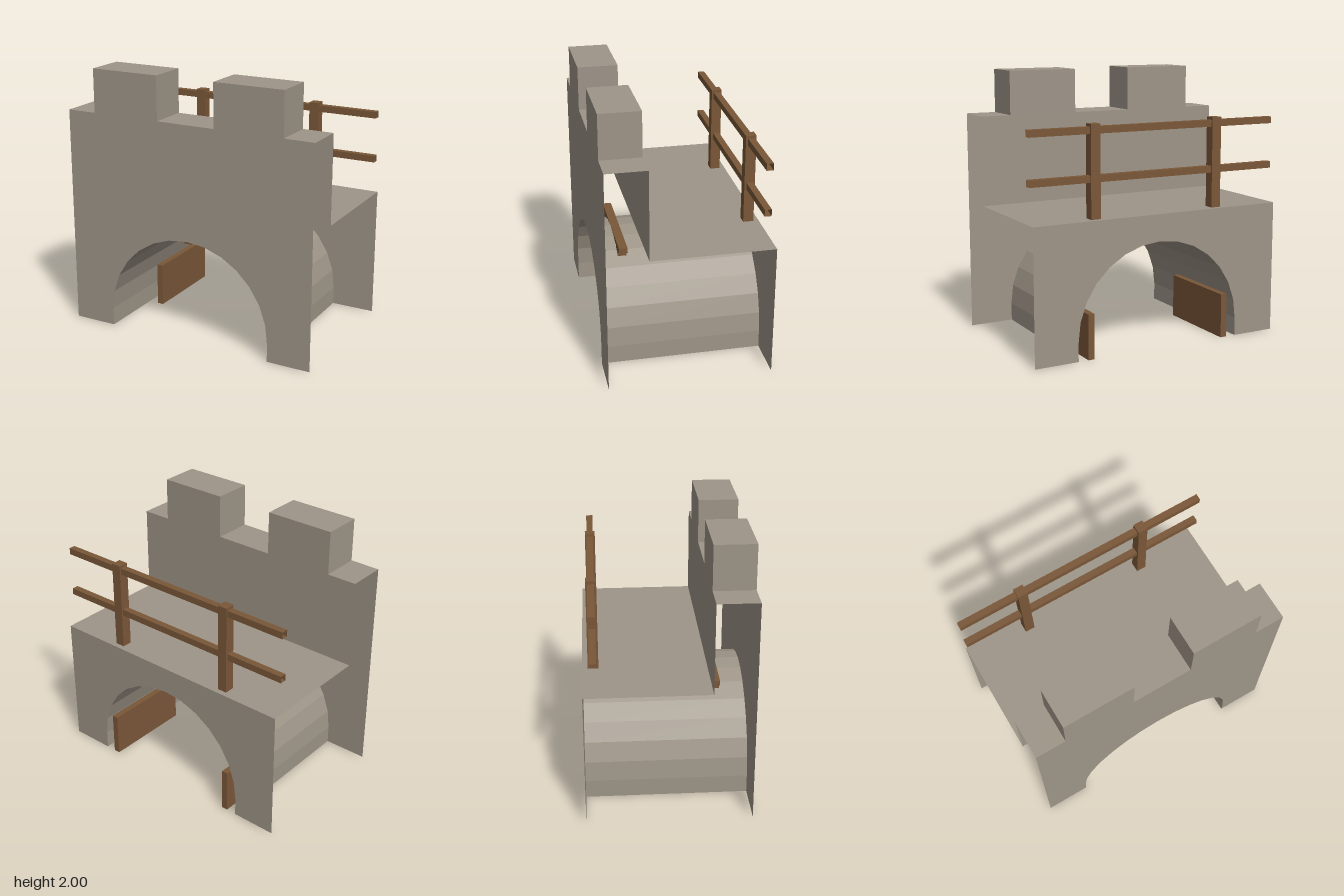
import * as THREE from 'three';

const stone = new THREE.MeshStandardMaterial({ color: 0x9e9588, side: THREE.DoubleSide });
stone.name = 'stone';
const wood = new THREE.MeshStandardMaterial({ color: 0x7a5738, side: THREE.DoubleSide });
wood.name = 'wood';

// Sweep a polyline in the x-y plane along z as flat, open-ended faces
function sweep(points, z0, z1) {
  const pos = [];
  for (let i = 0; i < points.length - 1; i++) {
    const [ax, ay] = points[i], [bx, by] = points[i + 1];
    pos.push(ax, ay, z1, bx, by, z1, bx, by, z0, ax, ay, z1, bx, by, z0, ax, ay, z0);
  }
  const g = new THREE.BufferGeometry();
  g.setAttribute('position', new THREE.Float32BufferAttribute(pos, 3));
  g.computeVertexNormals();
  return g;
}

export function createModel() {
  const model = new THREE.Group();
  model.name = 'castleBridge';

  const add = (name, geometry, material) => {
    const mesh = new THREE.Mesh(geometry, material);
    mesh.name = name;
    model.add(mesh);
    return mesh;
  };
  const box = (name, x0, x1, y0, y1, z0, z1) => {
    const mesh = add(name, new THREE.BoxGeometry(x1 - x0, y1 - y0, z1 - z0), wood);
    mesh.position.set((x0 + x1) / 2, (y0 + y1) / 2, (z0 + z1) / 2);
  };

  // Arch outline, right foot over the crown to left foot
  const R = 0.663, springY = 0.137, steps = 14;
  const arch = [[R, 0]];
  for (let i = 0; i <= steps; i++) {
    const a = (Math.PI * i) / steps;
    arch.push([R * Math.cos(a), springY + R * Math.sin(a)]);
  }
  arch.push([-R, 0]);

  // Crenellated parapet outline
  const crest = [
    [-1, 1.67], [-0.77, 1.67], [-0.77, 2], [-0.23, 2], [-0.23, 1.67],
    [0.23, 1.67], [0.23, 2], [0.77, 2], [0.77, 1.67], [1, 1.67],
  ];
  const wall = (top) => new THREE.ShapeGeometry(new THREE.Shape(
    [[-1, 0], ...top, [1, 0], ...arch].map(([x, y]) => new THREE.Vector2(x, y))));

  // Stone shell, open at both ends and underneath
  add('frontWall', wall(crest).translate(0, 0, 0.6), stone);
  add('backWall', wall([[-1, 1], [1, 1]]).rotateY(Math.PI).translate(0, 0, -0.6), stone);
  add('archVault', sweep(arch, -0.6, 0.6), stone);
  add('parapetTop', sweep(crest, 0.3, 0.6), stone);
  add('walkway', sweep([[-1, 1], [1, 1]], -0.6, 0.3), stone);

  // Inner face of the parapet
  const inner = new THREE.Shape([[-1, 1], ...crest, [1, 1]].map(([x, y]) => new THREE.Vector2(x, y)));
  add('parapetBack', new THREE.ShapeGeometry(inner).rotateY(Math.PI).translate(0, 0, 0.3), stone);

  // Railing: two posts and two open-ended rails
  for (const x of [-0.5, 0.5]) box('railPost', x - 0.0375, x + 0.0375, 1, 1.67, -0.56, -0.483);
  const h = 0.025;
  const square = [[-h, -h], [-h, h], [h, h], [h, -h], [-h, -h]];
  for (const y of [1.285, 1.625]) {
    add('rail', sweep(square, -1, 1).rotateY(Math.PI / 2), wood).position.set(0, y, -0.523);
  }

  // Raised gate: crossbar with teeth
  box('gateBar', -0.4, 0.4, 0.762, 0.8, 0.35, 0.415);
  for (const x of [-0.3, -0.1, 0.1, 0.3]) box('gateTooth', x - 0.033, x + 0.033, 0.705, 0.762, 0.35, 0.415);

  // Low boards along both sides of the passage
  box('sideBoard', 0.537, 0.585, 0, 0.335, -0.6, 0.085);
  box('sideBoard', -0.585, -0.537, 0, 0.335, -0.6, 0.085);

  return model;
}
